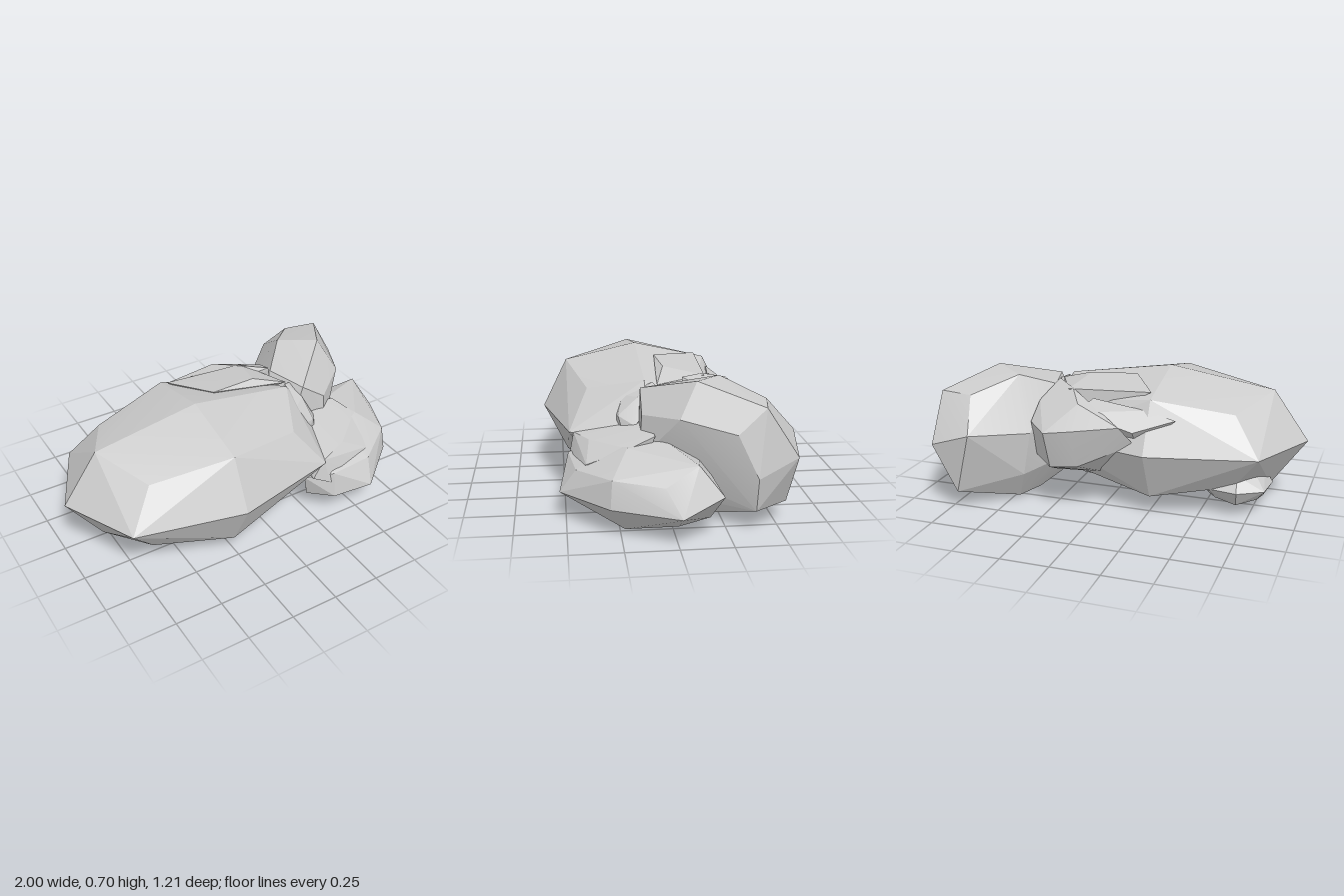
import * as THREE from 'three';
import { ConvexGeometry } from 'three/addons/geometries/ConvexGeometry.js';
import { toCreasedNormals } from 'three/addons/utils/BufferGeometryUtils.js';

const material = new THREE.MeshStandardMaterial({ color: 0xcccccc });

// Faceted stone wrapped around a few corner points; nearly flat neighbours blend
function hullStone(name, points) {
  const hull = new ConvexGeometry(points.map(p => new THREE.Vector3(...p)));
  const mesh = new THREE.Mesh(toCreasedNormals(hull, 0.22), material);
  mesh.name = name;
  return mesh;
}

// Rounded block: face centres, edge middles and corners pulled in by a fixed factor
function blockStone(name, centre, half, rotation = [0, 0, 0]) {
  const pull = [0, 1, 0.75, 0.5556];
  const turn = new THREE.Euler(...rotation);
  const points = [];
  for (let x = -1; x <= 1; x++)
    for (let y = -1; y <= 1; y++)
      for (let z = -1; z <= 1; z++) {
        const n = Math.abs(x) + Math.abs(y) + Math.abs(z);
        if (!n) continue;
        const p = new THREE.Vector3(x * half[0], y * half[1], z * half[2]).multiplyScalar(pull[n]);
        p.applyEuler(turn).add(new THREE.Vector3(...centre));
        points.push(p.toArray());
      }
  return hullStone(name, points);
}

export function createModel() {
  const group = new THREE.Group();
  group.name = 'rockCluster';

  // Large boulder
  group.add(blockStone('mainBoulder', [-0.26, 0.358, 0.09], [0.74, 0.345, 0.51]));

  // Tall slanted boulder at the back right
  group.add(hullStone('backBoulder', [
    [0.65, 0.6, -0.455], [0.465, 0.675, -0.26], [0.32, 0.6, -0.11], [0.38, 0.6, 0.12],
    [0.64, 0.688, -0.125], [0.83, 0.6, -0.42],
    [0.6, 0.43, -0.605], [0.82, 0.355, -0.58], [0.88, 0.275, -0.38], [0.85, 0.48, -0.285],
    [0.72, 0.525, -0.035], [0.52, 0.5, 0.125], [0.24, 0.42, -0.02], [0.36, 0.4, -0.38],
    [0.84, 0.105, -0.38], [0.7, 0.1, -0.555], [0.4, 0.17, -0.38], [0.46, 0.016, -0.305],
    [0.62, 0.025, -0.17], [0.4, 0.025, -0.17], [0.29, 0.1, 0.04], [0.27, 0.2, -0.12],
    [0.47, 0.1, 0.08], [0.52, 0.27, 0.14], [0.3, 0.35, 0.13],
  ]));

  // Low boulder at the front right
  group.add(hullStone('frontBoulder', [
    [1.0, 0.14, -0.015], [0.84, 0.14, 0.3], [0.57, 0.14, 0.53], [0.35, 0.13, 0.5],
    [0.92, 0.265, 0.055], [0.82, 0.275, 0.29], [0.6, 0.26, 0.45], [0.35, 0.27, 0.48],
    [0.9, 0.36, -0.1], [0.68, 0.385, 0.21], [0.62, 0.395, 0.02], [0.5, 0.36, 0.3],
    [0.3, 0.32, 0.37], [0.22, 0.24, 0.4], [0.25, 0.11, 0.38], [0.42, 0.025, 0.36],
    [0.73, 0, 0.225], [0.87, 0.06, -0.01], [0.8, 0.07, -0.17], [0.93, 0.215, -0.215],
    [0.6, 0.06, -0.1], [0.55, 0.3, -0.15],
  ]));

  // Stone wedged between the boulders
  group.add(hullStone('wedgeStone', [
    [0.31, 0.43, 0.16], [0.48, 0.44, 0.09], [0.62, 0.42, 0.07], [0.68, 0.38, 0.2],
    [0.62, 0.29, 0.4], [0.47, 0.37, 0.38], [0.3, 0.36, 0.45], [0.24, 0.26, 0.45],
    [0.33, 0.22, 0.48], [0.5, 0.22, 0.46], [0.3, 0.2, 0.15], [0.62, 0.2, 0.15],
  ]));

  // Knob filling the gap above the wedge
  group.add(hullStone('gapStone', [
    [0.28, 0.54, 0.2], [0.37, 0.55, 0.13], [0.31, 0.61, 0.05], [0.38, 0.58, 0.02],
    [0.29, 0.45, 0.24], [0.38, 0.46, 0.23], [0.44, 0.42, 0.15], [0.24, 0.45, 0.05],
    [0.3, 0.35, 0.25], [0.42, 0.35, 0.2],
  ]));

  // Stone leaning on the back
  group.add(hullStone('rearStone', [
    [0.1, 0.47, -0.48], [0.24, 0.45, -0.49], [0.36, 0.46, -0.36], [0.35, 0.55, -0.26],
    [0.3, 0.63, -0.1], [0.18, 0.62, -0.22], [0.1, 0.58, -0.36], [-0.14, 0.5, -0.43],
    [-0.2, 0.4, -0.37], [0.08, 0.27, -0.43], [0.23, 0.25, -0.43], [0.35, 0.27, -0.32],
    [0.28, 0.15, -0.2], [0, 0.18, -0.23], [0.36, 0.3, -0.1],
  ]));

  // Shallow ledges on top of the large boulder
  group.add(hullStone('upperLedge', [
    [-0.25, 0.64, -0.24], [0.2, 0.615, -0.23], [0.3, 0.58, -0.05], [-0.1, 0.665, 0],
    [0.33, 0.6, 0.03], [0, 0.5, -0.1], [0.15, 0.655, -0.02], [0.1, 0.45, -0.25],
  ]));
  group.add(hullStone('rearLedge', [
    [-0.4, 0.53, -0.32], [-0.24, 0.565, -0.31], [-0.2, 0.47, -0.4], [0.1, 0.54, -0.38],
    [0, 0.35, -0.25], [0.05, 0.59, -0.27], [-0.2, 0.35, -0.3],
  ]));

  // Small stones tucked underneath
  group.add(blockStone('cornerPebble', [-0.655, 0.14, -0.02], [0.19, 0.105, 0.23], [0.05, 0.2, 0]));
  group.add(blockStone('underStone', [0.05, 0.13, 0.08], [0.29, 0.08, 0.16], [0, 0.2, 0]));

  return group;
}
